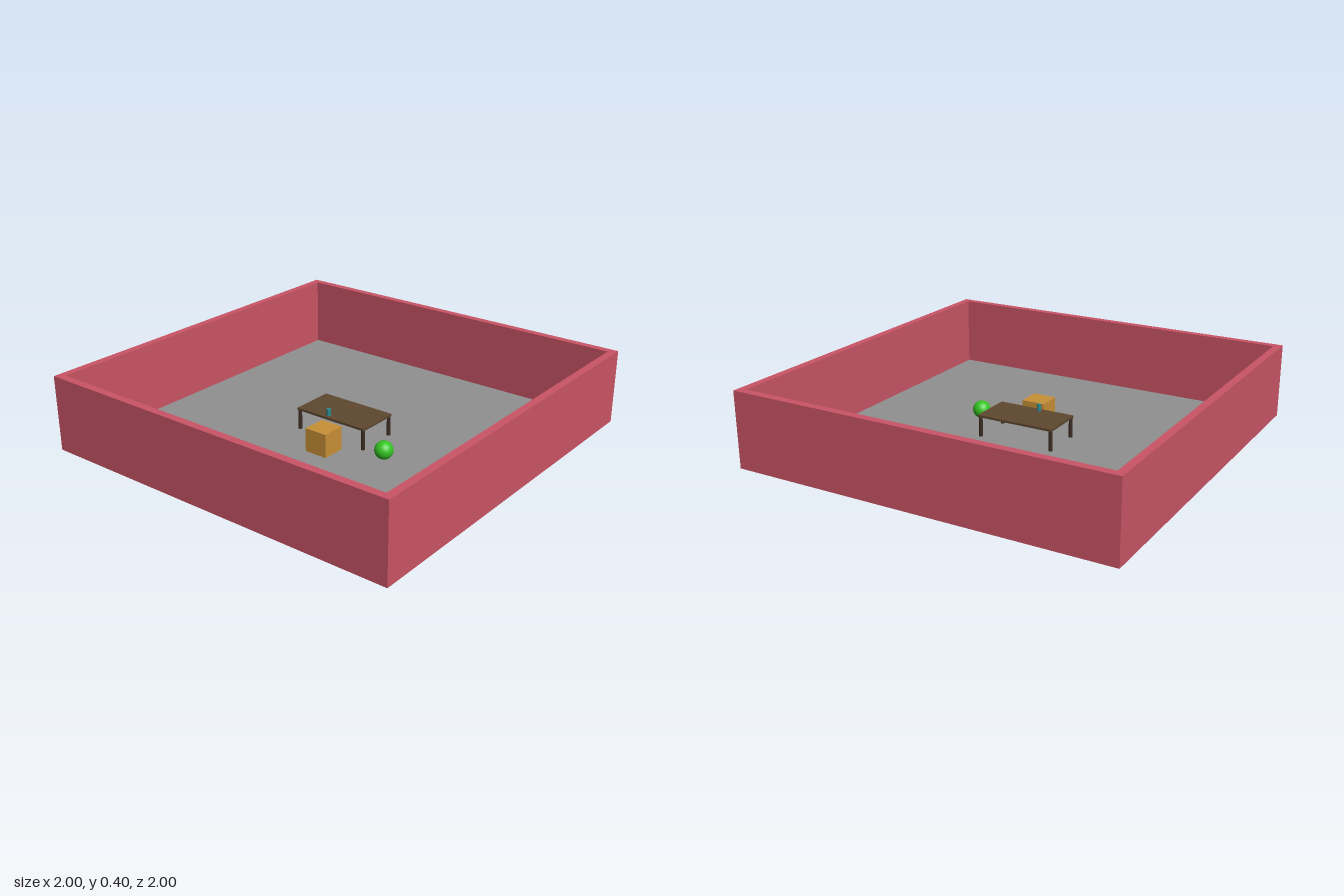
import * as THREE from 'three';

const FLOOR = 0.02, WALL_TOP = 0.395, INNER = 0.96;

export function createModel() {
  const model = new THREE.Group();
  model.name = 'room';

  const paint = (color) => new THREE.MeshStandardMaterial({ color });
  const red = paint(0xca5566), grey = paint(0x909090), wood = paint(0x5e4830);
  const darkWood = paint(0x3c2c22), orange = paint(0xc89036);
  const green = paint(0x35c522), teal = paint(0x2a8c90);

  function add(name, geometry, material, x, y, z, parent = model) {
    const mesh = new THREE.Mesh(geometry, material);
    mesh.name = name;
    mesh.position.set(x, y, z);
    parent.add(mesh);
    return mesh;
  }

  // Walls: a square frame with a square hole, extruded upward
  const outline = new THREE.Shape([[-1, -1], [1, -1], [1, 1], [-1, 1]]
    .map(([x, y]) => new THREE.Vector2(x, y)));
  outline.holes.push(new THREE.Path([[-1, -1], [-1, 1], [1, 1], [1, -1]]
    .map(([x, y]) => new THREE.Vector2(x * INNER, y * INNER))));
  const frame = new THREE.ExtrudeGeometry(outline, { depth: WALL_TOP, bevelEnabled: false });
  frame.rotateX(-Math.PI / 2);
  add('walls', frame, red, 0, 0, 0);

  // Base underside and floor
  add('base', new THREE.BoxGeometry(INNER * 2, 0.01, INNER * 2), red, 0, 0.005, 0);
  add('floor', new THREE.BoxGeometry(INNER * 2, 0.01, INNER * 2), grey, 0, FLOOR - 0.005, 0);

  // Table with four round corner legs
  const table = new THREE.Group();
  table.name = 'table';
  model.add(table);
  const topY = 0.136, thick = 0.012, width = 0.424, depth = 0.234, legR = 0.01;
  add('tableTop', new THREE.BoxGeometry(width, thick, depth), wood, 0, topY - thick / 2, 0, table);
  const legH = topY - thick - FLOOR;
  const legGeometry = new THREE.CylinderGeometry(legR, legR, legH, 16);
  for (const sx of [-1, 1]) {
    for (const sz of [-1, 1]) {
      add('tableLeg', legGeometry, darkWood,
        sx * (width / 2 - legR), FLOOR + legH / 2, sz * (depth / 2 - legR), table);
    }
  }

  // Small tumbler standing on the table
  add('tumbler', new THREE.CylinderGeometry(0.011, 0.011, 0.036, 20), teal, -0.026, topY + 0.018, 0.092);

  // Cube seat and ball on the floor
  add('cubeSeat', new THREE.BoxGeometry(0.126, 0.124, 0.126), orange, 0.054, FLOOR + 0.062, 0.232);
  add('ball', new THREE.SphereGeometry(0.047, 32, 20), green, 0.342, FLOOR + 0.047, 0.125);

  return model;
}
